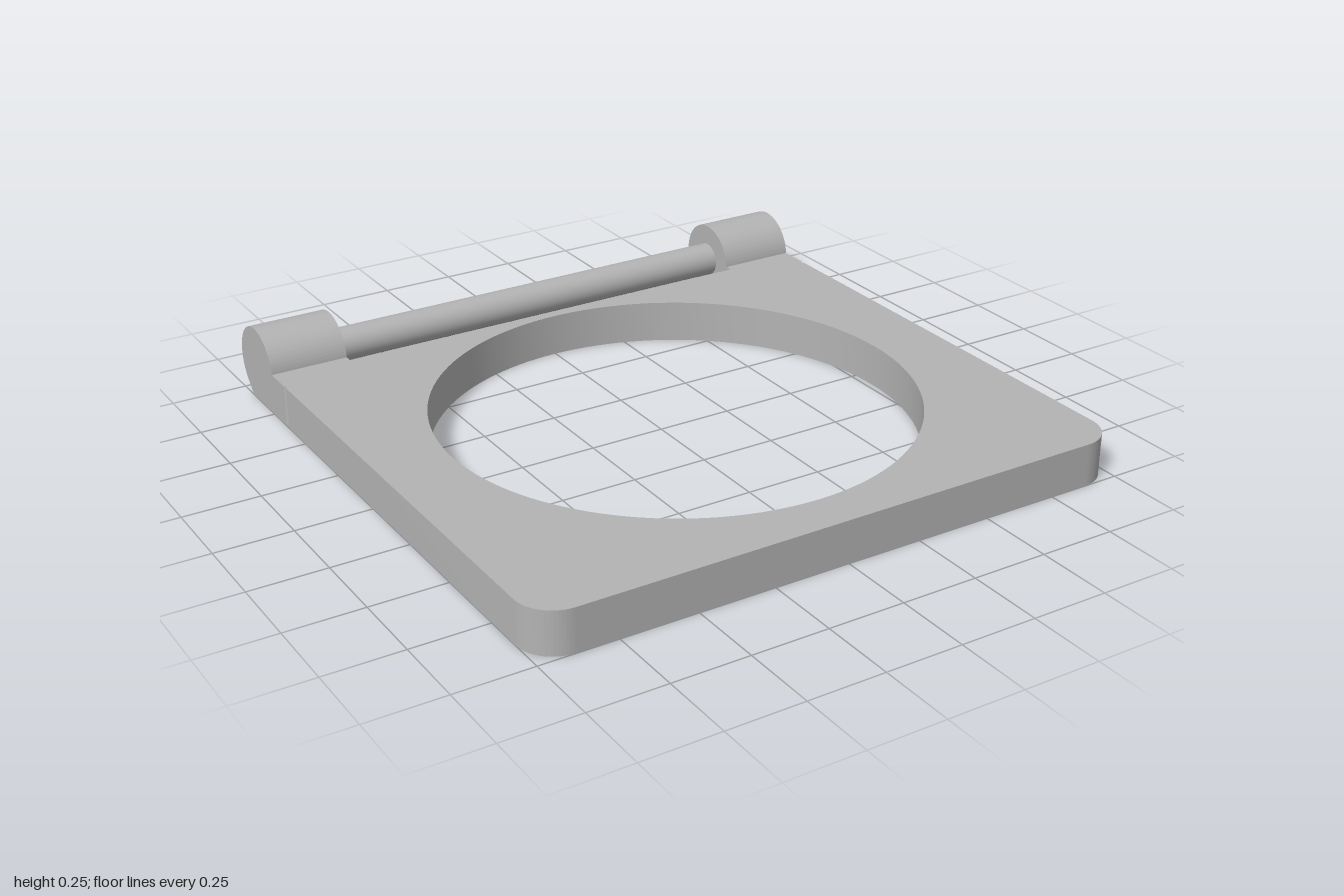
import * as THREE from 'three';
import { toCreasedNormals } from 'three/addons/utils/BufferGeometryUtils.js';

const THICK = 0.14, BACK = -0.72;       // plate thickness and rear edge
const PIN_Y = 0.128, PIN_Z = -0.873;    // hinge axis
const LUG_R = 0.127, LUG_X = 0.74, ROD_R = 0.057;

const extrude = (shape, depth) =>
  new THREE.ExtrudeGeometry(shape, { depth, bevelEnabled: false, curveSegments: 64 });

export function createModel() {
  const model = new THREE.Group();
  model.name = 'hingedRingPlate';
  const grey = new THREE.MeshStandardMaterial({ color: 0xb3b3b3 });
  grey.name = 'grey';

  const add = (name, geometry) => {
    const mesh = new THREE.Mesh(geometry, grey);
    mesh.name = name;
    model.add(mesh);
    return mesh;
  };

  // Plate outline (shape y is -z): rounded front corners, tiny side notches, round hole
  const r = 0.12;
  const outline = new THREE.Shape();
  outline.moveTo(-1, -BACK);
  outline.lineTo(-1, 0.65);
  outline.lineTo(-0.993, 0.64);
  outline.lineTo(-1, 0.63);
  outline.lineTo(-1, -1 + r);
  outline.absarc(-1 + r, -1 + r, r, Math.PI, 1.5 * Math.PI);
  outline.lineTo(1 - r, -1);
  outline.absarc(1 - r, -1 + r, r, 1.5 * Math.PI, 2 * Math.PI);
  outline.lineTo(1, 0.63);
  outline.lineTo(0.993, 0.64);
  outline.lineTo(1, 0.65);
  outline.lineTo(1, -BACK);
  outline.closePath();
  const hole = new THREE.Path();
  hole.absarc(0, -0.085, 0.77, 0, 2 * Math.PI, true);
  outline.holes.push(hole);
  const plate = extrude(outline, THICK);
  plate.rotateX(-Math.PI / 2);
  add('plate', toCreasedNormals(plate, 0.5));

  // Hinge lug side profile (shape x is -z): flat foot, sloped rear, round barrel
  const profile = new THREE.Shape();
  profile.moveTo(-BACK, 0);
  profile.lineTo(-PIN_Z + LUG_R * Math.SQRT2 - PIN_Y, 0);
  profile.absarc(-PIN_Z, PIN_Y, LUG_R, -Math.PI / 4,
    Math.PI - Math.asin((THICK - PIN_Y) / LUG_R));
  profile.lineTo(-BACK, THICK);
  profile.closePath();
  const lug = extrude(profile, 1 - LUG_X);
  lug.rotateY(Math.PI / 2);
  const lugGeometry = toCreasedNormals(lug, 0.5);
  add('leftLug', lugGeometry).position.x = LUG_X;
  add('rightLug', lugGeometry).position.x = -1;

  // Hinge rod between the lugs
  const rod = new THREE.CylinderGeometry(ROD_R, ROD_R, 2 * LUG_X, 48, 1, true);
  rod.rotateZ(Math.PI / 2);
  add('hingeRod', rod).position.set(0, PIN_Y + 0.002, PIN_Z);

  return model;
}
